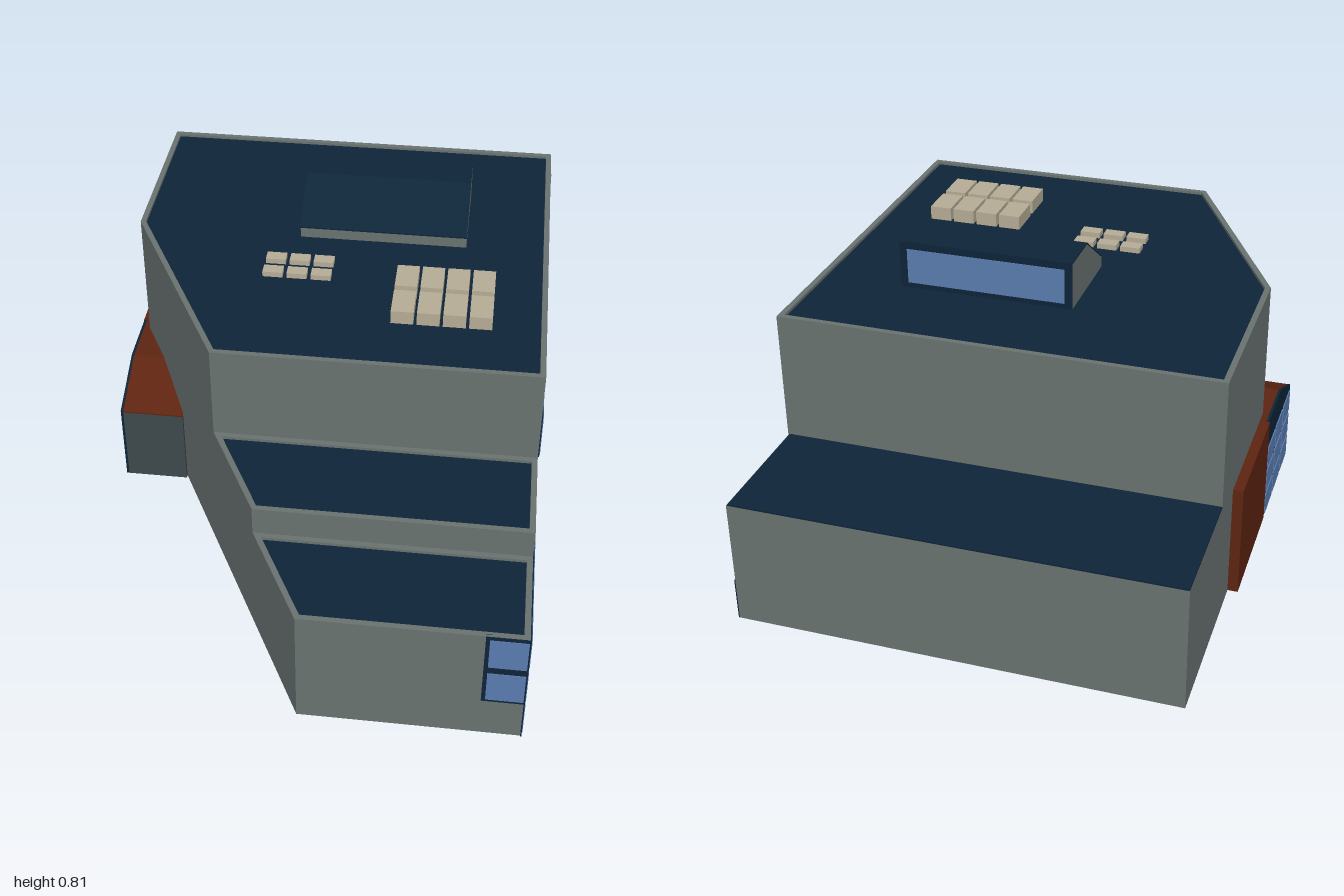
import * as THREE from 'three';

const mat = (name, color) => {
  const m = new THREE.MeshStandardMaterial({ color });
  m.name = name;
  return m;
};

export function createModel() {
  const group = new THREE.Group();
  group.name = 'building';
  const wall = mat('grey wall', 0x6a7371);
  const roof = mat('navy roof and frames', 0x0e2438);
  const glass = mat('blue glass', 0x5a7db0);
  const rust = mat('rust red', 0x5e2411);
  const slate = mat('slate panel', 0x3e494d);
  const tan = mat('tan units', 0xb6ad96);

  const add = (name, geo, material, parent = group) => {
    const m = new THREE.Mesh(geo, material);
    m.name = name;
    parent.add(m);
    return m;
  };
  // box given by its lower and upper limits
  const box = (name, x0, x1, y0, y1, z0, z1, material, parent) => {
    const m = add(name, new THREE.BoxGeometry(x1 - x0, y1 - y0, z1 - z0), material, parent);
    m.position.set((x0 + x1) / 2, (y0 + y1) / 2, (z0 + z1) / 2);
    return m;
  };
  const V = (x, y) => new THREE.Vector2(x, y);
  // plan shape (x, -z) raised from y0 to y1
  const raise = (shape, y0, y1) => new THREE.ExtrudeGeometry(shape, { depth: y1 - y0, bevelEnabled: false })
    .rotateX(-Math.PI / 2).translate(0, y0, 0);
  // profile of [z, y] points extruded along x
  const alongX = (pts, x0, x1) => new THREE.ExtrudeGeometry(
    new THREE.Shape(pts.map(([z, y]) => V(-z, y))), { depth: x1 - x0, bevelEnabled: false })
    .rotateY(Math.PI / 2).translate(x0, 0, 0);

  // Plan outline: straight left wall, then a diagonal towards the front
  const R = 0.587, L = -0.57, ZC = -0.14, SLOPE = 0.6 / 1.14;
  const leftX = (z, d) => Math.max(L + d, L + (z - ZC) * SLOPE + 1.13 * d);
  const plan = (z0, z1, d) => {
    const a = z0 + d, b = z1 - d, zc = ZC + 0.13 * d / -SLOPE;
    const pts = [V(leftX(b, d), -b), V(R - d, -b), V(R - d, -a), V(leftX(a, d), -a)];
    if (a < zc && zc < b) pts.push(V(L + d, -zc));
    return pts;
  };

  // Stepped blocks, each with a sunken roof behind a low parapet
  const tiers = [
    ['mainBlock', -0.66, 0.44, 0.69],
    ['middleStep', 0.44, 0.72, 0.425],
    ['frontStep', 0.72, 0.997, 0.345],
  ];
  for (const [name, z0, z1, h] of tiers) {
    const sunk = h - 0.012;
    add(name, raise(new THREE.Shape(plan(z0, z1, 0)), 0, sunk), wall);
    const ring = new THREE.Shape(plan(z0, z1, 0));
    ring.holes.push(new THREE.Path(plan(z0, z1, 0.015)));
    add(name + 'Parapet', raise(ring, sunk, h), wall);
    add(name + 'Roof', raise(new THREE.Shape(plan(z0, z1, 0.015)), sunk, sunk + 0.004), roof);
  }
  box('rearBlock', L, R, 0, 0.341, -1, -0.66, wall);
  box('rearRoof', L, R - 0.004, 0.341, 0.345, -1, -0.66, roof);

  // Left side glazing: navy frame plates with glass panes on top
  const windows = new THREE.Group();
  windows.name = 'sideWindows';
  group.add(windows);
  const frame = (z0, z1, y0, y1) => box('windowFrame', R, R + 0.003, y0, y1, z0, z1, roof, windows);
  const pane = (z0, z1, y0, y1) => box('windowPane', R, R + 0.005, y0, y1, z0, z1, glass, windows);

  // continuous ground strip
  frame(-1, 1, 0, 0.116);
  const cuts = [-1, -0.66, -0.525, -0.395, -0.265, -0.13, 0.01, 0.155, 0.3, 0.45, 0.72, 1];
  for (let i = 0; i < cuts.length - 1; i++) pane(cuts[i] + 0.006, cuts[i + 1] - 0.006, 0.008, 0.108);

  // two-row windows and the large front glazing
  const twoRow = [[-0.395, -0.265], [-0.13, 0.01], [0.155, 0.298], [0.445, 0.72], [0.72, 1]];
  for (const [z0, z1] of twoRow) {
    frame(z0, z1, 0.116, 0.345);
    pane(z0 + 0.007, z1 - 0.007, 0.124, 0.222);
    pane(z0 + 0.007, z1 - 0.007, 0.242, 0.337);
  }
  // upper windows
  for (const [z0, z1] of [[-0.527, -0.392], [-0.255, -0.135], [0.013, 0.153], [0.305, 0.44]]) {
    frame(z0, z1, 0.428, 0.56);
    pane(z0 + 0.007, z1 - 0.007, 0.432, 0.552);
  }
  // tall slit window
  frame(-0.634, -0.598, 0.163, 0.643);
  pane(-0.63, -0.602, 0.167, 0.639);

  // Glazing wrapped round the front corner
  box('cornerFrame', 0.483, R + 0.003, 0.12, 0.345, 0.99, 1, roof);
  box('cornerPaneLow', 0.493, R - 0.001, 0.128, 0.221, 0.99, 1.002, glass);
  box('cornerPaneHigh', 0.493, R - 0.001, 0.243, 0.336, 0.99, 1.002, glass);

  // Roof monitor with a sloping top and a window facing the back
  const mon = new THREE.Group();
  mon.name = 'roofMonitor';
  group.add(mon);
  const MX0 = -0.108, MX1 = 0.358;
  add('monitorBody', alongX([[-0.13, 0.67], [-0.13, 0.711], [-0.265, 0.808], [-0.392, 0.808], [-0.392, 0.67]].reverse(),
    MX0, MX1), wall, mon);
  add('monitorRoof', alongX([[-0.13, 0.711], [-0.13, 0.715], [-0.264, 0.812], [-0.395, 0.812], [-0.395, 0.808], [-0.265, 0.808]].reverse(),
    MX0, MX1), roof, mon);
  box('monitorFrame', MX0, MX1, 0.678, 0.808, -0.395, -0.39, roof, mon);
  box('monitorPane', MX0 + 0.02, MX1 - 0.02, 0.697, 0.792, -0.397, -0.39, glass, mon);

  // Rooftop units in two rows: four large and three small columns
  for (let row = 0; row < 2; row++) {
    for (let i = 0; i < 4; i++) {
      const x = 0.18 + i * 0.0685, z = 0.033 + row * 0.117;
      box('largeRoofUnit', x, x + 0.06, 0.675, 0.72, z, z + 0.098, tan);
    }
    for (let i = 0; i < 3; i++) {
      const x = -0.185 + i * 0.066, z = -0.022 + row * 0.064;
      box('smallRoofUnit', x, x + 0.055, 0.675, 0.697, z, z + 0.035, tan);
    }
  }

  // Rust panel door on the right wall
  box('sideDoor', -0.597, L, 0, 0.31, -0.53, -0.18, rust);

  // Entrance annex: slate front, sloping rust roof, glazed outer wall
  const annex = new THREE.Group();
  annex.name = 'annex';
  group.add(annex);
  const profile = [[-0.18, 0], [-0.18, 0.307], [-0.005, 0.307], [0.165, 0.232], [0.165, 0]];
  add('annexBody', alongX(profile, -0.588, -0.415), slate, annex);
  add('annexRoof', alongX([[-0.18, 0.307], [-0.18, 0.311], [-0.004, 0.311], [0.165, 0.236], [0.165, 0.232], [-0.005, 0.307]],
    -0.588, -0.415), rust, annex);
  add('annexGlazingFrame', alongX(profile.map(([z, y]) => [z, y > 0 ? y + 0.005 : y]), -0.595, -0.588), roof, annex);
  for (let c = 0; c < 3; c++) {
    for (let r = 0; r < 3; r++) {
      const z = -0.172 + c * 0.113, y = 0.008 + r * 0.076;
      box('annexPane', -0.598, -0.59, y, y + 0.064, z, z + 0.1, glass, annex);
    }
  }
  return group;
}
